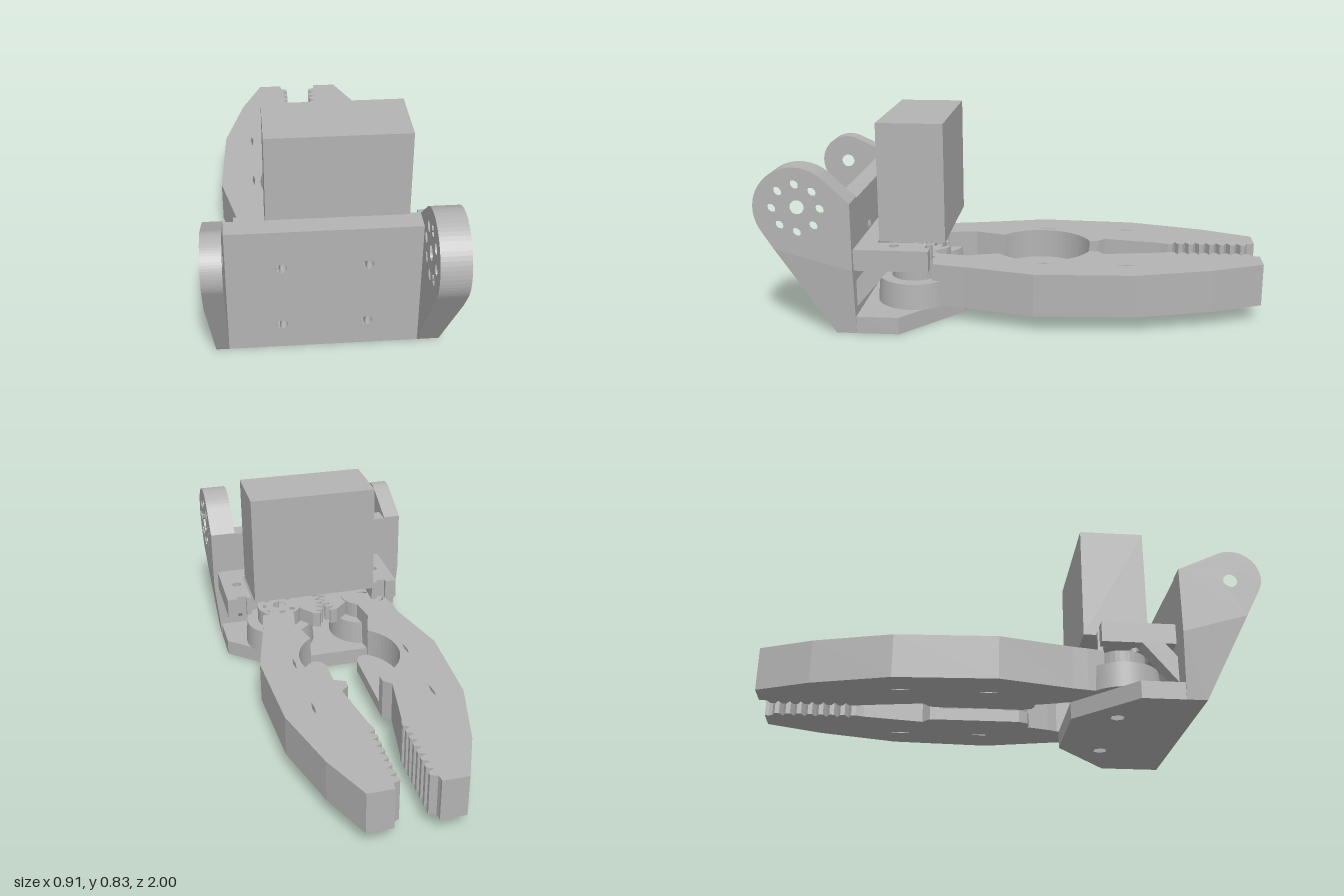
import * as THREE from 'three';

const grey = new THREE.MeshStandardMaterial({ color: 0xb3b3b3 });
grey.name = 'plastic grey';

const MID = -0.015;              // mirror line of the two jaws
const PIVOT = { u: 0.2, z: 0.42 };

function polygon(points, holes = []) {
  const shape = new THREE.Shape(points.map(([a, b]) => new THREE.Vector2(a, b)));
  holes.forEach(h => shape.holes.push(new THREE.Path(h.map(([a, b]) => new THREE.Vector2(a, b)))));
  return shape;
}
const extrude = (shape, depth) => new THREE.ExtrudeGeometry(shape, { depth, bevelEnabled: false });

function circle(cx, cy, r, n = 20) {
  return Array.from({ length: n }, (_, i) => {
    const a = (i / n) * Math.PI * 2;
    return [cx + r * Math.cos(a), cy + r * Math.sin(a)];
  });
}
function ringOfHoles(cx, cy, ringR, r) {
  return Array.from({ length: 8 }, (_, i) => {
    const a = (i * Math.PI) / 4;
    return circle(cx + ringR * Math.cos(a), cy + ringR * Math.sin(a), r, 14);
  });
}
function mesh(name, geometry) {
  const m = new THREE.Mesh(geometry, grey);
  m.name = name;
  return m;
}
// Plan outline in [x, z], raised from y0 to y1
function slab(points, y0, y1, holes = []) {
  const flip = list => list.map(([x, z]) => [x, -z]);
  return extrude(polygon(flip(points), holes.map(flip)), y1 - y0).rotateX(-Math.PI / 2).translate(0, y0, 0);
}
// Side outline in [z, y], spanning x0 to x1
function sidePlate(points, x0, x1, holes = []) {
  const flip = list => list.map(([z, y]) => [-z, y]);
  return extrude(polygon(flip(points), holes.map(flip)), x1 - x0).rotateY(Math.PI / 2).translate(x0, 0, 0);
}
function box(x0, x1, y0, y1, z0, z1) {
  return new THREE.BoxGeometry(x1 - x0, y1 - y0, z1 - z0)
    .translate((x0 + x1) / 2, (y0 + y1) / 2, (z0 + z1) / 2);
}

// Hinge arm: rounded eye on a body that narrows toward the base
function hingeArm(name, xIn, xOut, r, boltRing) {
  const g = new THREE.Group();
  g.name = name;
  const cz = 0.835, cy = 0.515, foot = [0.7, 0], back = [0.62, 0.54];
  const tangent = (p, side) => {
    const dz = cz - p[0], dy = cy - p[1];
    return Math.atan2(dy, dz) + side * Math.asin(r / Math.hypot(dz, dy));
  };
  const lean = tangent(foot, -1);
  const a0 = lean - Math.PI / 2, a1 = tangent(back, 1) + Math.PI / 2;
  const kink = [foot[0] + 0.35 / Math.tan(lean), 0.35];
  const outline = [[0.62, 0.27], kink];
  for (let i = 0; i <= 28; i++) {
    const a = a0 + ((a1 - a0) * i) / 28;
    outline.push([cz + r * Math.cos(a), cy + r * Math.sin(a)]);
  }
  outline.push(back);
  // inner layer has a narrow bore, outer layer a wide counterbore
  const xMid = xOut - Math.sign(xOut) * 0.03;
  const layer = (a, b, bore) => sidePlate(outline, Math.min(a, b), Math.max(a, b),
    [circle(cz, cy, bore), ...(boltRing ? ringOfHoles(cz, cy, 0.095, 0.02) : [])]);
  g.add(mesh('armEyeInner', layer(xIn, xMid, 0.028)), mesh('armEyeOuter', layer(xMid, xOut, 0.045)));
  const lower = sidePlate([[0.62, 0], foot, kink, [0.62, 0.27]], Math.min(xIn, xOut), Math.max(xIn, xOut));
  const p = lower.attributes.position;
  for (let i = 0; i < p.count; i++) {
    if (p.getY(i) < 0.05 && Math.abs(p.getX(i) - xOut) < 1e-4) p.setX(i, Math.sign(xOut) * 0.43);
  }
  lower.computeVertexNormals();
  g.add(mesh('armFoot', lower));
  return g;
}

// One jaw; u is the distance from the mirror line
function jaw(name, s) {
  const g = new THREE.Group();
  g.name = name;
  const place = list => list.map(([u, z]) => [MID + s * u, z]);
  const arc = [];                // round grip opening
  const r = 0.215, zc = -0.09;
  for (let i = 0; i <= 20; i++) {
    const a = -1.235 + (i / 20) * (1.235 + 0.92);
    arc.push([r * Math.cos(a), zc + r * Math.sin(a)]);
  }
  const teeth = [];
  for (let i = 0; i < 8; i++) {
    const z = -0.97 + i * 0.044;
    teeth.push([0.082, z], [0.055, z + 0.012], [0.055, z + 0.03]);
  }
  const outline = [
    [0.19, -1], [0.085, -1], [0.085, -0.985], ...teeth, [0.065, -0.6], [0.105, -0.36], [0.073, -0.33],
    ...arc, [0.155, 0.17], [0.17, 0.21], [0.15, 0.34],
    [0.29, 0.34], [0.305, 0.27], [0.315, 0.21], [0.385, -0.08], [0.365, -0.48], [0.28, -0.79],
  ];
  const slit = z => [[0.245, z - 0.04], [0.25, z], [0.243, z + 0.045], [0.238, z]];
  g.add(mesh('jawBody', slab(place(outline), 0.07, 0.245, [place(slit(-0.45)), place(slit(-0.11))])));

  // low pad inside the grip opening
  const pad = [...arc, [0.11, 0.085], [0.085, 0.075], [0.07, 0.04]];
  g.add(mesh('gripPad', slab(place(pad), 0.07, 0.12)));

  // pivot drum, hub and gear teeth
  const px = MID + s * PIVOT.u;
  g.add(mesh('pivotDrum', new THREE.CylinderGeometry(0.15, 0.157, 0.105, 40).translate(px, 0.1225, PIVOT.z)));
  const hubHoles = s > 0 ? [circle(px, PIVOT.z, 0.03), ...ringOfHoles(px, PIVOT.z, 0.072, 0.014)] : [circle(px, PIVOT.z, 0.03)];
  g.add(mesh('hub', slab(circle(px, PIVOT.z, 0.1, 32), 0.175, 0.245, hubHoles)));
  const gear = [[PIVOT.u - 0.05, PIVOT.z]];
  const shift = s > 0 ? 0 : 0.1;
  for (let i = -3; i <= 3; i++) {
    [[-0.075, 0.175], [-0.03, 0.205], [0.03, 0.205], [0.075, 0.175]].forEach(([da, rad]) => {
      const a = i * 0.2 + da + shift;
      gear.push([PIVOT.u - rad * Math.cos(a), PIVOT.z + rad * Math.sin(a)]);
    });
  }
  g.add(mesh('gearSector', slab(place(gear), 0.17, 0.24)));
  return g;
}

export function createModel() {
  const model = new THREE.Group();
  model.name = 'servoGripper';

  // Front plate with teardrop screw holes
  const teardrop = (x, y) => [...circle(x, y, 0.022, 16).filter(([, b]) => b <= y + 0.016)
    .sort((a, b) => Math.atan2(a[0] - x, a[1] - y) - Math.atan2(b[0] - x, b[1] - y)), [x, y + 0.031]];
  const drops = [];
  for (const x of [-0.175, 0.145]) for (const y of [0.11, 0.375]) drops.push(teardrop(x, y));
  const front = polygon([[-0.38, 0], [0.345, 0], [0.345, 0.535], [-0.38, 0.535]], drops);
  model.add(mesh('frontPlate', extrude(front, 0.08).translate(0, 0, 0.62)));

  // Base plate with hexagonal nut pockets
  model.add(mesh('basePlate', slab(
    [[-0.43, 0.62], [0.43, 0.62], [0.43, 0.45], [0.165, 0.22], [-0.185, 0.22], [-0.43, 0.45]], 0, 0.07,
    [-1, 1].map(s => circle(MID + s * PIVOT.u, 0.4, 0.03, 6)))));

  model.add(hingeArm('leftArm', 0.345, 0.455, 0.165, true));
  model.add(hingeArm('rightArm', -0.38, -0.455, 0.115, false));

  // Forked servo mount and its braces
  model.add(mesh('servoMount', slab([
    [-0.35, 0.62], [0.435, 0.62], [0.435, 0.325], [0.39, 0.325], [0.39, 0.345], [0.35, 0.345], [0.35, 0.325],
    [0.33, 0.325], [0.33, 0.545], [-0.235, 0.545], [-0.235, 0.325], [-0.26, 0.325], [-0.26, 0.345],
    [-0.3, 0.345], [-0.3, 0.325], [-0.35, 0.325],
  ], 0.265, 0.35, [circle(-0.28, 0.47, 0.02), circle(0.37, 0.47, 0.02)])));
  for (const [x0, x1] of [[-0.35, -0.28], [0.33, 0.4]]) {
    model.add(mesh('mountBrace', sidePlate([[0.63, 0.09], [0.63, 0.2], [0.57, 0.27], [0.48, 0.27]], x0, x1)));
  }
  model.add(mesh('servo', box(-0.225, 0.32, 0.35, 0.83, 0.275, 0.54)));

  model.add(jaw('leftJaw', 1), jaw('rightJaw', -1));
  return model;
}
